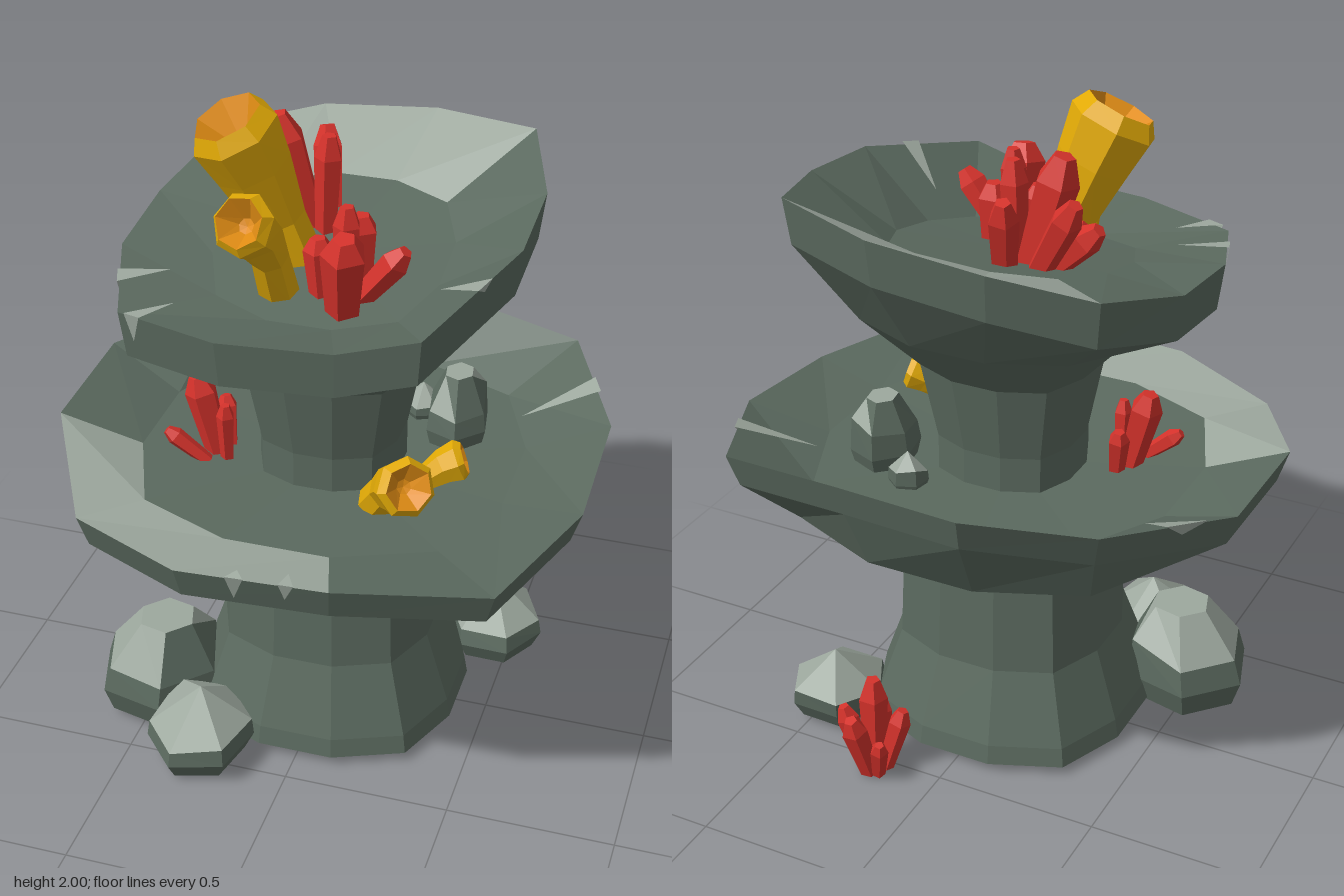
import * as THREE from 'three';

const mat = (name, color) => new THREE.MeshStandardMaterial({ name, color, flatShading: true, side: THREE.DoubleSide });
const V = (p) => new THREE.Vector3(...p);

// Rounded-square ring of 12 points used for the pedestal and neck
const UNIT = [[1, -.28], [1, .28], [.79, .79], [.28, 1], [-.28, 1], [-.79, .79],
  [-1, .28], [-1, -.28], [-.79, -.79], [-.28, -1], [.28, -1], [.79, -.79]];
const ring = (r, y, tilt = 0) => UNIT.map(([x, z]) => [x * r, y - z * r * tilt, z * r]);

// Uneven bowl rims as x, y, z, in the same order as UNIT
const LOWER_RIM = [[.79, .95, -.22], [.79, .91, .2], [.64, .9, .64], [.22, .92, .77], [-.22, .9, .77], [-.58, .88, .59],
  [-.79, .96, .2], [-.79, .97, -.22], [-.52, 1.0, -.54], [-.22, 1.1, -.78], [.2, 1.05, -.69], [.61, 1.0, -.61]];
const UPPER_RIM = [[.57, 1.71, -.15], [.57, 1.68, .15], [.4, 1.59, .55], [.17, 1.52, .56], [-.16, 1.5, .56], [-.47, 1.49, .46],
  [-.58, 1.53, .15], [-.58, 1.56, -.15], [-.48, 1.65, -.47], [-.2, 1.71, -.57], [.15, 1.74, -.57], [.47, 1.76, -.46]];
const shiftRing = (pts, s, dy) => pts.map(([x, y, z]) => [x * s, y + dy, z * s]);

// Skin a stack of rings; isPale(level, segment) picks the second material
function loft(name, rings, mats, isPale = () => false) {
  const main = [], pale = [];
  for (let k = 0; k < rings.length - 1; k++) {
    const a = rings[k], b = rings[k + 1];
    for (let i = 0; i < 12; i++) {
      const j = (i + 1) % 12;
      (isPale(k, i) ? pale : main).push(...a[i], ...b[i], ...a[j], ...a[j], ...b[i], ...b[j]);
    }
  }
  const g = new THREE.BufferGeometry();
  g.setAttribute('position', new THREE.Float32BufferAttribute([...main, ...pale], 3));
  g.addGroup(0, main.length / 3, 0);
  g.addGroup(main.length / 3, pale.length / 3, 1);
  g.computeVertexNormals();
  const m = new THREE.Mesh(g, mats);
  m.name = name;
  return m;
}

// Pale chip folded over a rim: one triangle on the inner wall, one on the outer face
function rimChip(rim, floor, under, [seg, t, w, inDepth, outDepth], material) {
  const along = (r, f) => V(r[seg]).lerp(V(r[(seg + 1) % 12]), f);
  const mid = along(rim, t), out = new THREE.Vector3(mid.x, 0, mid.z).setLength(.007);
  const lift = (p) => p.add(out).setY(p.y + .008);
  const a = lift(along(rim, t - w)), b = lift(along(rim, t + w));
  const inner = mid.clone().lerp(along(floor, t), inDepth);
  inner.y += .02;
  const outer = mid.clone().lerp(along(under, t + w * .5), outDepth).add(out);
  const g = new THREE.BufferGeometry().setFromPoints([a, inner, b, a, b, outer]);
  g.computeVertexNormals();
  const m = new THREE.Mesh(g, material);
  m.name = 'rimChip';
  return m;
}

const lathe = (pts, n) => new THREE.LatheGeometry(pts.map(p => new THREE.Vector2(...p)), n);
const UP = new THREE.Vector3(0, 1, 0);

// Bend a shape standing on y = 0..1 along a curve
function bend(g, curve) {
  const p = g.attributes.position, v = new THREE.Vector3(), q = new THREE.Quaternion();
  for (let i = 0; i < p.count; i++) {
    const t = p.getY(i);
    q.setFromUnitVectors(UP, curve.getTangent(t));
    v.set(p.getX(i), 0, p.getZ(i)).applyQuaternion(q).add(curve.getPoint(t));
    p.setXYZ(i, v.x, v.y, v.z);
  }
  g.computeVertexNormals();
  return g;
}

// Six-sided boulder whose top leans sideways by lean, with uneven shoulders
function boulderGeometry(profile, turn, [leanX, leanZ]) {
  const g = lathe(profile, 6).toNonIndexed().rotateY(turn), p = g.attributes.position;
  for (let i = 0; i < p.count; i++) {
    const x = p.getX(i), y = p.getY(i), z = p.getZ(i);
    const bump = y > .3 && y < .9 ? .12 * Math.sin(3 * Math.atan2(z, x) + 5 * x) : 0;
    p.setXYZ(i, x + leanX * y * y, y + bump, z + leanZ * y * y);
  }
  return g;
}

export function createModel() {
  const model = new THREE.Group();
  model.name = 'rockFountain';
  const stone = mat('stone', 0x5b6a5f), pale = mat('paleStone', 0x9da89e);
  const yellow = mat('spongeYellow', 0xe2aa06), orange = mat('spongeInside', 0xe08c14), red = mat('crystalRed', 0xd5322b);
  const mats = [stone, pale];

  // Stone body
  const lowerUnder = shiftRing(LOWER_RIM, .96, -.1), lowerFloor = ring(.55, .87);
  const upperUnder = shiftRing(UPPER_RIM, .97, -.14), upperFloor = ring(.33, 1.53, .22);
  model.add(loft('pedestal', [ring(.41, .02), ring(.4, .08), ring(.325, .3), ring(.31, .64)], mats));
  model.add(loft('lowerBowl', [ring(.31, .62), ring(.59, .76), lowerUnder, LOWER_RIM, lowerFloor, ring(.2, .85)],
    mats, (k, i) => k === 3 && i >= 3 && i <= 5));
  model.add(loft('neck', [ring(.21, .84), ring(.21, .96), ring(.255, 1.2)], mats));
  model.add(loft('upperBowl', [ring(.255, 1.2), ring(.41, 1.37), upperUnder, UPPER_RIM, upperFloor, ring(0, 1.52)],
    mats, (k, i) => k === 3 && i >= 8 && i <= 10));

  // Rim chips: segment, place along it, half width, inner depth, outer depth
  for (const c of [[7, .38, .15, .8, .3], [11, .55, .08, .95, .3], [3, .27, .05, .2, .5], [3, .6, .06, .1, .75]])
    model.add(rimChip(LOWER_RIM, lowerFloor, lowerUnder, c, pale));
  for (const c of [[5, .5, .09, .55, .6], [4, .83, .08, .45, .55], [1, .4, .07, .7, .1]])
    model.add(rimChip(UPPER_RIM, upperFloor, upperUnder, c, pale));

  // Boulders with pale upper faces: base centre, radii and height, turn, profile, lean
  const BLOCKY = [[.85, 0], [1, .28], [.92, .62], [.45, 1], [0, 1]], PEAKED = [[.82, 0], [1, .25], [.96, .55], [0, 1]];
  const boulders = [
    [[-.49, .01, .25], [.2, .305, .2], .3, BLOCKY, [.15, 0]], [[-.28, .01, .47], [.16, .225, .18], .8, PEAKED, [0, -.1]],
    [[.45, .01, -.32], [.155, .225, .165], .5, PEAKED, [-.1, -.25]], [[.33, .84, -.19], [.1, .23, .12], .2, BLOCKY, [0, -.1]],
    [[.2, .84, -.29], [.06, .12, .06], .9, PEAKED, [0, 0]]];
  for (const [c, s, turn, profile, lean] of boulders) {
    const g = boulderGeometry(profile, turn, lean).scale(...s).translate(...c);
    g.computeVertexNormals();
    const n = g.attributes.normal;
    for (let t = 0; t < n.count; t += 3) g.addGroup(t, 3, n.getY(t) > .45 ? 1 : 0);
    const m = new THREE.Mesh(g, mats);
    m.name = 'boulder';
    model.add(m);
  }

  // Bent tube sponges: base, bend, mouth, radius
  const sponges = [
    [[-.1, 1.47, .02], [-.16, 1.68, .04], [-.265, 1.945, .125], .13], [[-.1, 1.47, .19], [-.1, 1.7, .27], [-.13, 1.79, .425], .09],
    [[.2, .86, .24], [.25, .97, .28], [.335, 1.03, .39], .088], [[.28, .86, .19], [.33, .95, .16], [.43, .985, .13], .062]];
  for (const [a, b, c, r] of sponges) {
    const curve = new THREE.QuadraticBezierCurve3(V(a), V(b), V(c)), sponge = new THREE.Group();
    sponge.name = 'tubeSponge';
    const tube = new THREE.Mesh(bend(lathe([[r * .65, 0], [r * .6, .35], [r * .85, .7], [r, .92], [r * .78, 1]], 7), curve), yellow);
    tube.name = 'spongeTube';
    const inside = new THREE.Mesh(bend(lathe([[r * .78, 1], [r * .25, .86], [0, .84]], 7), curve), orange);
    inside.name = 'spongeInside';
    sponge.add(tube, inside);
    model.add(sponge);
  }

  // Crystals: base, tip, radius
  const crystals = [
    // upper bowl, back cluster
    [[-.13, 1.5, -.16], [-.28, 1.78, -.2], .045], [[-.13, 1.5, -.12], [-.32, 1.69, -.13], .045],
    [[-.1, 1.5, -.12], [-.2, 1.87, -.1], .065], [[-.08, 1.5, -.1], [-.25, 1.66, -.06], .04],
    [[-.06, 1.5, -.18], [-.1, 1.78, -.27], .045], [[-.05, 1.5, -.09], [-.04, 1.83, -.09], .042],
    // upper bowl, front cluster
    [[.1, 1.47, .07], [.1, 1.68, .07], .05], [[.02, 1.47, .18], [.01, 1.65, .18], .045],
    [[.09, 1.47, .17], [.09, 1.75, .17], .04], [[.12, 1.47, .18], [.26, 1.65, .19], .042],
    [[.1, 1.46, .24], [.12, 1.72, .3], .066],
    // lower bowl
    [[-.33, .85, .1], [-.39, 1.1, .1], .05], [[-.29, .85, .13], [-.29, 1.04, .14], .028],
    [[-.34, .85, .16], [-.46, .95, .18], .028], [[-.31, .85, .05], [-.33, 1.0, .02], .033],
    // ground behind
    [[.2, 0, -.54], [.2, .31, -.535], .045], [[.2, 0, -.57], [.22, .22, -.635], .04],
    [[.17, 0, -.53], [.12, .2, -.5], .035], [[.23, 0, -.54], [.29, .2, -.56], .035],
    [[.2, 0, -.51], [.21, .2, -.47], .033], [[.17, 0, -.57], [.14, .14, -.61], .028]];
  for (const [a, b, r] of crystals) {
    const g = lathe([[0, 0], [r * .75, 0], [r, .8], [r * .5, 1], [0, 1]], 5);
    const m = new THREE.Mesh(bend(g, new THREE.LineCurve3(V(a), V(b))), red);
    m.name = 'crystal';
    model.add(m);
  }
  return model;
}
